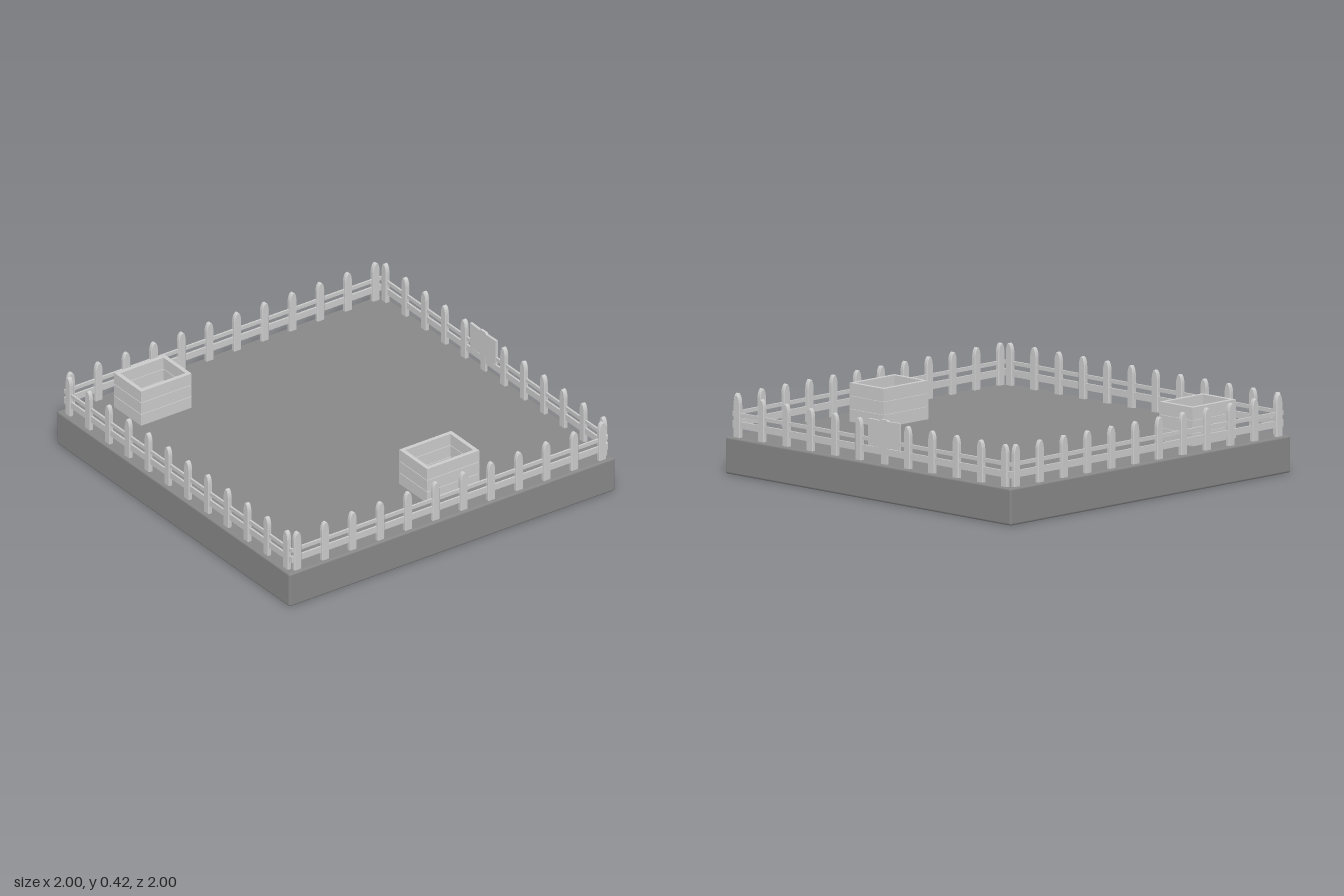
import * as THREE from 'three';
import { RoundedBoxGeometry } from 'three/addons/geometries/RoundedBoxGeometry.js';

const wood = new THREE.MeshStandardMaterial({ color: 0xcccccc });
const ground = new THREE.MeshStandardMaterial({ color: 0x888888 });

const GROUND_Y = 0.19;
const EDGE = 0.972; // distance of each fence line from the centre
const COUNT = 12, SPACING = 0.17;

function add(parent, name, geometry, x, y, z, material = wood) {
  const mesh = new THREE.Mesh(geometry, material);
  mesh.name = name;
  mesh.position.set(x, y, z);
  parent.add(mesh);
  return mesh;
}

const box = (w, h, d) => new THREE.BoxGeometry(w, h, d);

// Flat board with softened edges, centred on its thickness
function board(shape, depth, bevel) {
  const geometry = new THREE.ExtrudeGeometry(shape, {
    depth: depth - 2 * bevel, bevelEnabled: bevel > 0,
    bevelSize: bevel, bevelThickness: bevel, bevelOffset: -bevel,
    bevelSegments: 1, curveSegments: 8,
  });
  return geometry.translate(0, 0, -(depth - 2 * bevel) / 2);
}

// Picket with straight sides and a tall rounded tip
function picketGeometry() {
  const w = 0.022, shoulder = 0.165;
  const shape = new THREE.Shape();
  shape.moveTo(-w, -0.01);
  shape.lineTo(w, -0.01);
  shape.lineTo(w, shoulder);
  shape.absellipse(0, shoulder, w, 0.05, 0, Math.PI, false);
  shape.lineTo(-w, -0.01);
  return board(shape, 0.024, 0.004);
}

// One fence side along x; skip leaves out a picket
function makeFence(name, picket, skip = -1) {
  const fence = new THREE.Group();
  fence.name = name;
  for (let i = 0; i < COUNT; i++) {
    if (i === skip) continue;
    add(fence, 'picket', picket, (i - (COUNT - 1) / 2) * SPACING, GROUND_Y, 0);
  }
  add(fence, 'upperRail', box(1.94, 0.02, 0.01), 0, 0.305, 0);
  add(fence, 'lowerRail', box(1.94, 0.035, 0.01), 0, 0.253, 0);
  return fence;
}

// Small worn sign on a short post
function makeSign() {
  const sign = new THREE.Group();
  sign.name = 'sign';
  const outline = [
    [-0.11, 0.272], [-0.03, 0.275], [0.05, 0.271], [0.11, 0.275], [0.11, 0.41],
    [0.03, 0.408], [0.02, 0.416], [-0.02, 0.416], [-0.03, 0.409], [-0.11, 0.412],
  ].map(([x, y]) => new THREE.Vector2(x, y));
  add(sign, 'signBoard', board(new THREE.Shape(outline), 0.014, 0), 0, 0, 0);
  add(sign, 'signPost', box(0.04, 0.11, 0.013), 0, 0.235, 0);
  return sign;
}

// Open crate of stacked planks
function makeCrate(name, x, z, w, d) {
  const crate = new THREE.Group();
  crate.name = name;
  const t = 0.022, height = 0.2, rows = 3, gap = 0.003;
  const rowHeight = height / rows;
  for (let i = 0; i < rows; i++) {
    const y = (i + 0.5) * rowHeight;
    for (const s of [-1, 1]) {
      add(crate, 'endPlank', box(w, rowHeight - gap, t), 0, y, s * (d - t) / 2);
      add(crate, 'sidePlank', box(t, rowHeight - gap, d - 2 * t), s * (w - t) / 2, y, 0);
    }
  }
  // Thin lining closes the gaps between planks
  for (const s of [-1, 1]) {
    add(crate, 'endLining', box(w - 0.01, height - 0.006, 0.01), 0, height / 2, s * (d - t) / 2);
    add(crate, 'sideLining', box(0.01, height - 0.006, d - 0.03), s * (w - t) / 2, height / 2, 0);
  }
  // Floor boards
  const floorWidth = (w - 2 * t) / 4;
  for (let i = 0; i < 4; i++) {
    add(crate, 'floorPlank', box(floorWidth - 0.002, 0.02, d - 2 * t), (i - 1.5) * floorWidth, 0.012, 0);
  }
  crate.position.set(x, GROUND_Y, z);
  return crate;
}

export function createModel() {
  const model = new THREE.Group();
  model.name = 'fencedYard';

  add(model, 'groundSlab', new RoundedBoxGeometry(2, GROUND_Y, 2, 2, 0.012), 0, GROUND_Y / 2, 0, ground);

  // Fences on all four sides
  const picket = picketGeometry();
  const front = makeFence('frontFence', picket);
  front.position.z = EDGE - 0.004;
  const back = makeFence('backFence', picket, 5);
  back.position.z = -EDGE;
  const left = makeFence('leftFence', picket);
  left.position.x = EDGE;
  const right = makeFence('rightFence', picket);
  right.position.x = -EDGE;
  left.rotation.y = right.rotation.y = Math.PI / 2;
  model.add(front, back, left, right);

  // Sign takes the place of one back picket
  const sign = makeSign();
  sign.position.set(-0.09, 0, -EDGE);
  model.add(sign);

  model.add(makeCrate('leftCrate', 0.705, -0.13, 0.24, 0.32));
  model.add(makeCrate('rightCrate', -0.747, 0.59, 0.232, 0.31));
  return model;
}
